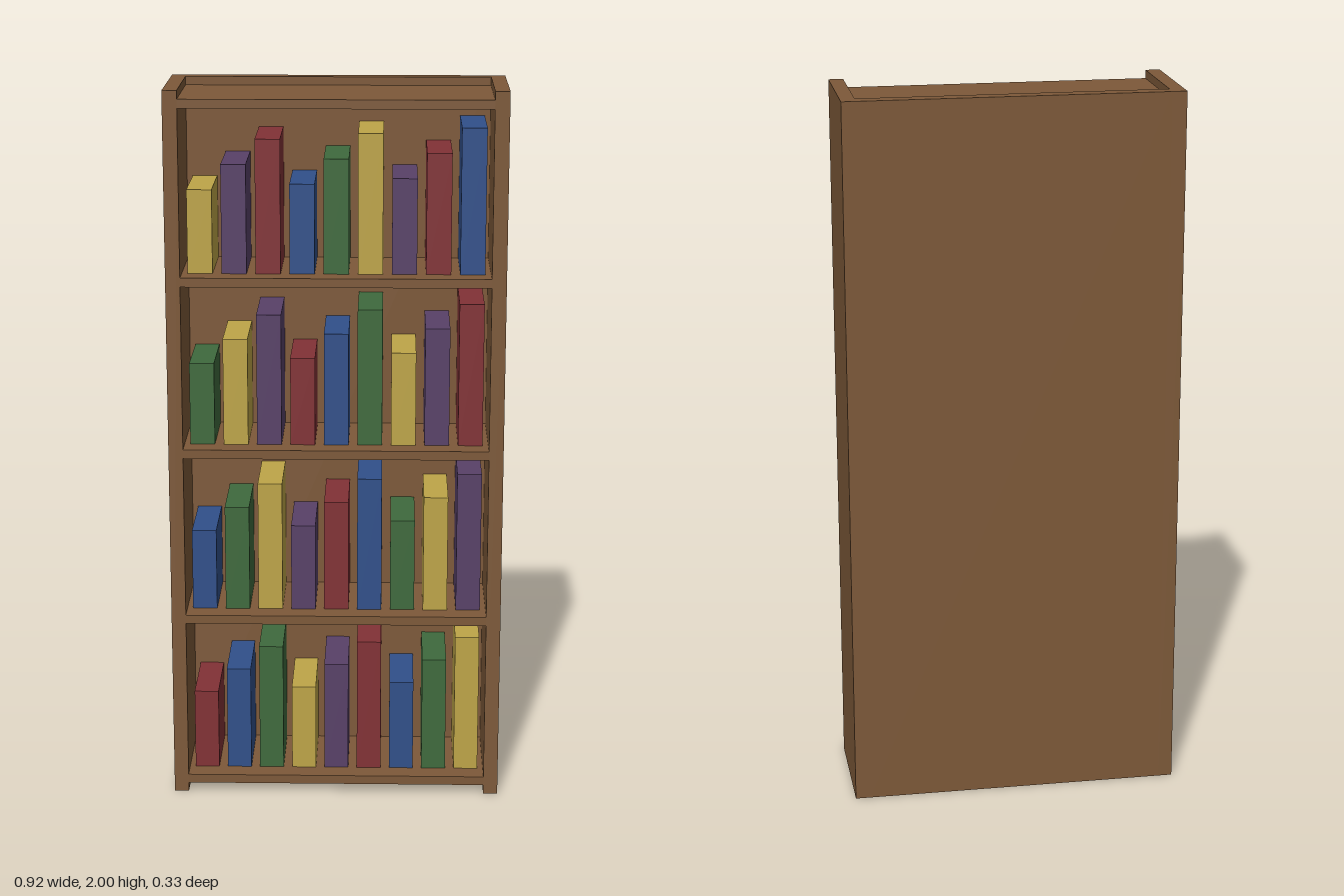
import * as THREE from 'three';

const material = (name, color) => new THREE.MeshStandardMaterial({ name, color });

// Box given by its centre x, base y, centre z and size
function addBox(parent, name, mat, x, y, z, w, h, d) {
  const mesh = new THREE.Mesh(new THREE.BoxGeometry(w, h, d), mat);
  mesh.name = name;
  mesh.position.set(x, y + h / 2, z);
  parent.add(mesh);
}

export function createModel() {
  const model = new THREE.Group();
  model.name = 'bookcase';
  const wood = material('wood brown', 0x7d5939);
  const covers = [
    material('book red', 0x823236),
    material('book blue', 0x31508a),
    material('book green', 0x3f6a3d),
    material('book yellow', 0xbea548),
    material('book purple', 0x584168),
  ];

  // Carcass: two sides and a back between them
  const W = 0.92, H = 2, D = 0.33, T = 0.04;
  const inner = W - 2 * T;
  addBox(model, 'leftSide', wood, (W - T) / 2, 0, 0, T, H, D);
  addBox(model, 'rightSide', wood, -(W - T) / 2, 0, 0, T, H, D);
  addBox(model, 'backPanel', wood, 0, 0, (T - D) / 2, inner, H, T);

  // Five evenly spaced boards, including the floor and the top
  const board = 0.025, firstY = 0.026, pitch = 0.4815;
  for (let s = 0; s < 5; s++) {
    addBox(model, 'shelf', wood, 0, firstY + s * pitch, T / 2, inner, board, D - T);
  }

  // Nine books per shelf: heights climb in threes, colours shift by one per row
  for (let row = 0; row < 4; row++) {
    const books = new THREE.Group();
    books.name = 'bookRow';
    for (let i = 0; i < 9; i++) {
      const height = 0.23 + (i % 3) * 0.0685 + Math.floor(i / 3) * 0.016;
      addBox(books, 'book', covers[(row + i) % 5],
        (i - 4) * 0.0925, firstY + board + row * pitch, -0.01, 0.068, height, 0.23);
    }
    model.add(books);
  }
  return model;
}
